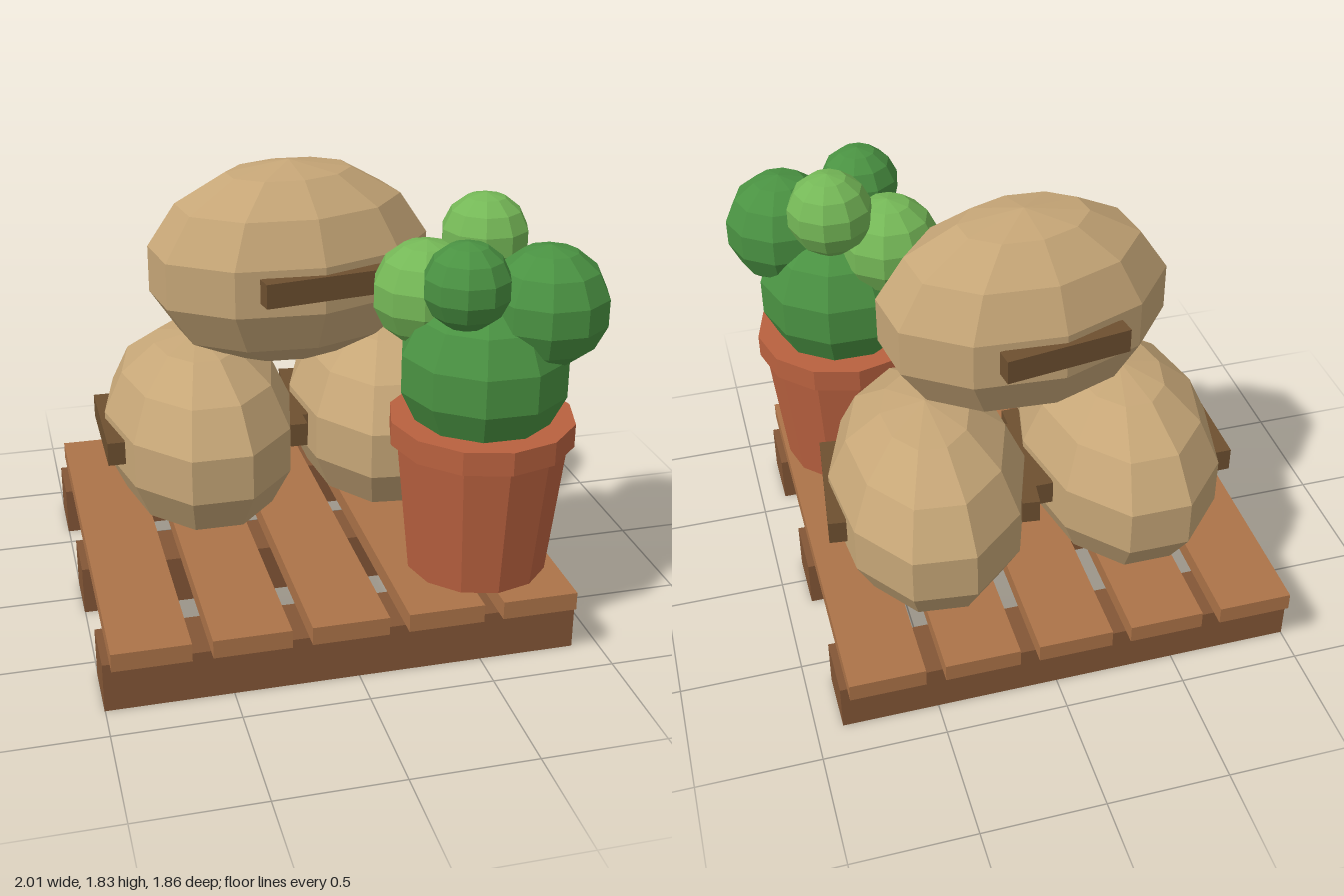
import * as THREE from 'three';

const mat = (name, color) => {
  const m = new THREE.MeshStandardMaterial({ color, flatShading: true });
  m.name = name;
  return m;
};

export function createModel() {
  const slatWood = mat('slat wood', 0xac7348);
  const beamWood = mat('beam wood', 0x835636);
  const burlap = mat('burlap', 0xc6a677);
  const strapBrown = mat('strap brown', 0x6e5030);
  const terracotta = mat('terracotta', 0xb9613f);
  const darkGreen = mat('dark green', 0x4a9242);
  const lightGreen = mat('light green', 0x75b857);

  const model = new THREE.Group();
  model.name = 'palletWithSacksAndCactus';

  const add = (parent, name, geometry, material, x, y, z) => {
    const mesh = new THREE.Mesh(geometry, material);
    mesh.name = name;
    mesh.position.set(x, y, z);
    parent.add(mesh);
    return mesh;
  };

  // Pallet: three beams carrying five slats
  const pallet = new THREE.Group();
  pallet.name = 'pallet';
  model.add(pallet);
  const beam = new THREE.BoxGeometry(1.895, 0.205, 0.255);
  const slat = new THREE.BoxGeometry(0.305, 0.075, 1.845);
  for (let i = -1; i <= 1; i++) {
    add(pallet, 'beam', beam, beamWood, -0.055, 0.1025, -0.008 + i * 0.72);
  }
  for (let i = -2; i <= 2; i++) {
    add(pallet, 'slat', slat, slatWood, -0.055 + i * 0.384, 0.259, -0.007);
  }

  // Sack shape: long faceted ball with a flattened bottom
  const sackShape = new THREE.SphereGeometry(1, 10, 7);
  const pos = sackShape.attributes.position;
  for (let i = 0; i < pos.count; i++) pos.setY(i, Math.max(pos.getY(i), -0.86));
  sackShape.scale(0.412, 0.432, 0.613);
  const strap = new THREE.BoxGeometry(0.072, 0.1, 0.512);

  // Each sack has a strap along both long sides
  const addSack = (name, x, y, z, turn) => {
    const sack = new THREE.Group();
    sack.name = name;
    sack.position.set(x, y, z);
    sack.rotation.y = turn;
    add(sack, 'sackBody', sackShape, burlap, 0, 0, 0);
    for (const side of [-1, 1]) {
      add(sack, 'strap', strap, strapBrown, side * 0.386, 0.016, 0);
    }
    model.add(sack);
  };
  addSack('rightSack', -0.438, 0.667, -0.218, 0);
  addSack('leftSack', 0.385, 0.667, -0.267, -0.115);
  addSack('topSack', -0.052, 1.4, -0.142, Math.PI / 2 + 0.147);

  // Potted cactus
  const plant = new THREE.Group();
  plant.name = 'pottedCactus';
  plant.position.set(0.563, 0, 0.557);
  model.add(plant);
  add(plant, 'pot', new THREE.CylinderGeometry(0.345, 0.285, 0.57, 12), terracotta, 0, 0.581, 0);
  add(plant, 'potRim', new THREE.CylinderGeometry(0.37, 0.37, 0.097, 12), terracotta, 0, 0.901, 0);

  // Cactus balls: name, radius, position, material
  const balls = [
    ['cactusBody', 0.343, 0, 1.15, 0, darkGreen],
    ['largeBall', 0.241, 0.205, 1.423, 0.105, darkGreen],
    ['frontBall', 0.17, -0.138, 1.547, 0.153, darkGreen],
    ['sideBall', 0.213, -0.197, 1.42, -0.155, lightGreen],
    ['topBall', 0.176, 0.045, 1.62, -0.18, lightGreen],
  ];
  for (const [name, r, x, y, z, material] of balls) {
    add(plant, name, new THREE.SphereGeometry(r, 10, 7), material, x, y, z);
  }

  return model;
}
